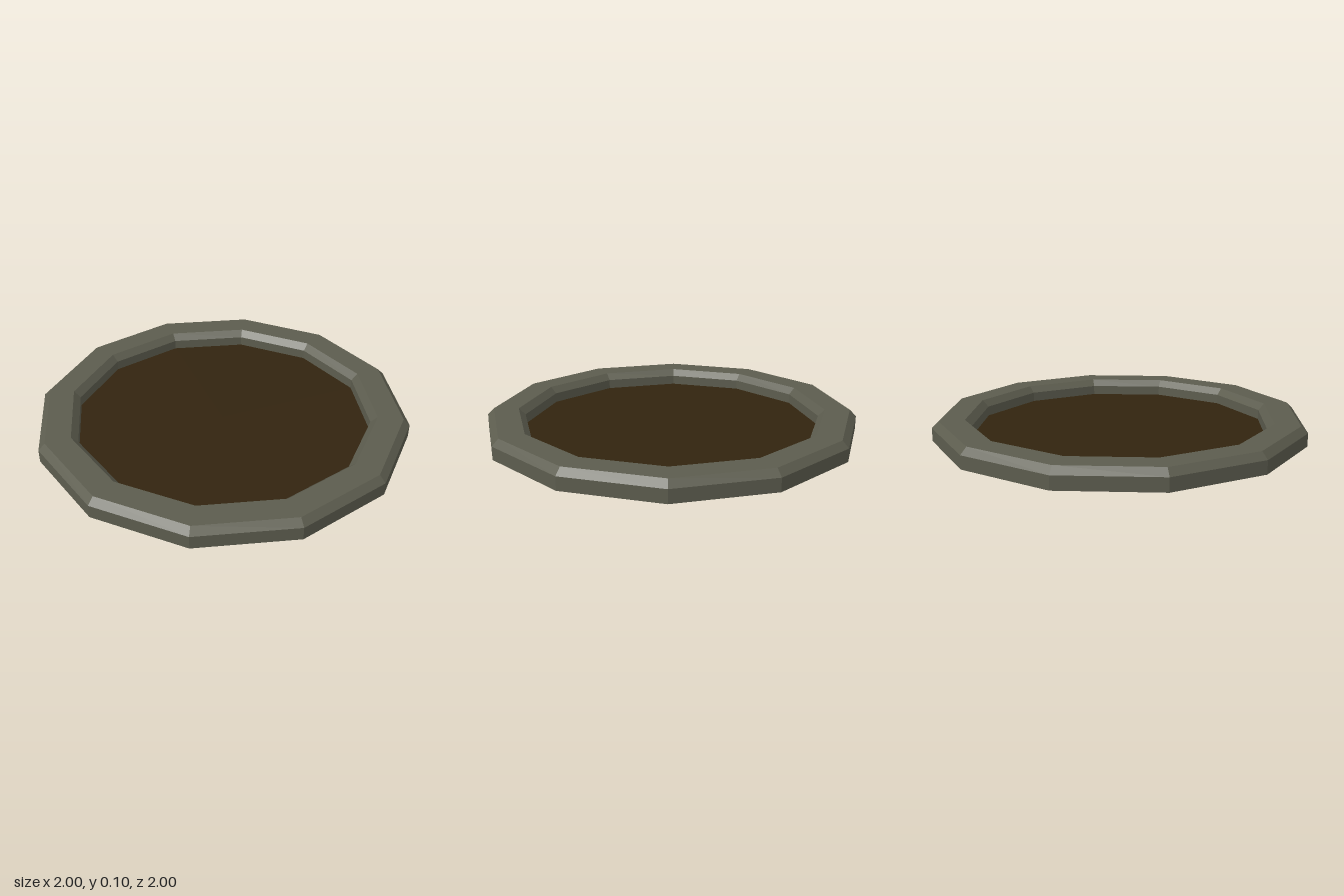
import * as THREE from 'three';

const SIDES = 12;

export function createModel() {
  const group = new THREE.Group();
  group.name = 'roundPlanterBed';

  const stone = new THREE.MeshStandardMaterial({ color: 0x5c5c4e, flatShading: true });
  stone.name = 'stone';
  const soil = new THREE.MeshStandardMaterial({ color: 0x32240f, flatShading: true });
  soil.name = 'soil';

  // Stone ring with bevelled edges and a closed underside
  const profile = [
    [0, 0], [1, 0], [1, 0.07], [0.965, 0.105],
    [0.83, 0.105], [0.795, 0.07], [0.795, 0.01],
  ].map(([r, y]) => new THREE.Vector2(r, y));
  const rim = new THREE.Mesh(new THREE.LatheGeometry(profile, SIDES), stone);
  rim.name = 'stoneRim';
  group.add(rim);

  // Sunken soil inside the ring
  const bed = new THREE.Mesh(new THREE.CircleGeometry(0.797, SIDES), soil);
  bed.name = 'soilBed';
  bed.rotation.x = -Math.PI / 2;
  bed.position.y = 0.018;
  group.add(bed);

  return group;
}
